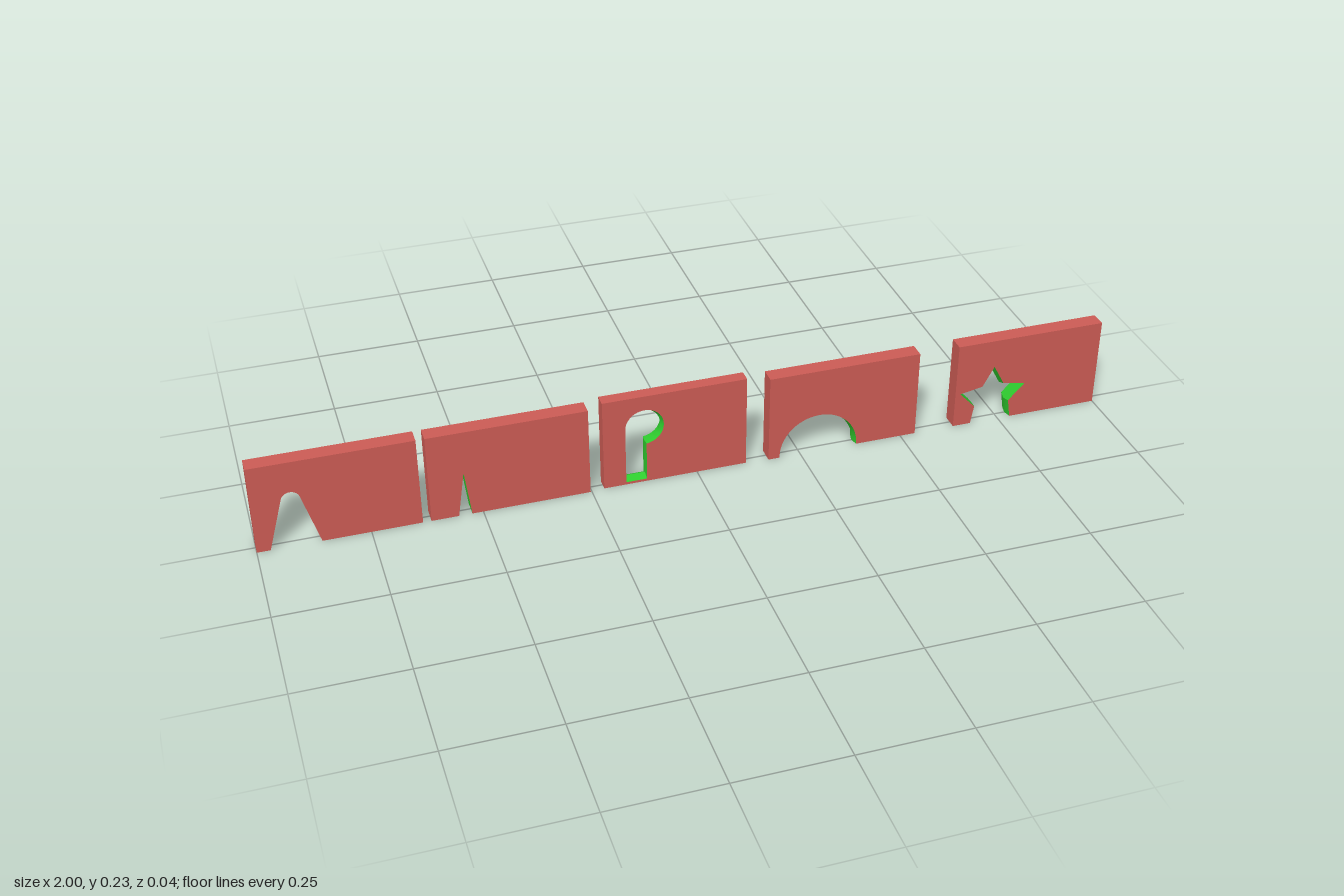
import * as THREE from 'three';
import { toCreasedNormals } from 'three/addons/utils/BufferGeometryUtils.js';

const red = new THREE.MeshStandardMaterial({ color: 0xcc5c55, side: THREE.DoubleSide });
const green = new THREE.MeshStandardMaterial({ color: 0x2ecc2e, side: THREE.DoubleSide });

const arc = (cx, cy, r, from, to, n) => Array.from({ length: n + 1 }, (_, i) => {
  const a = THREE.MathUtils.degToRad(from + (to - from) * i / n);
  return [cx + r * Math.cos(a), cy + r * Math.sin(a)];
});

// wall strip that follows a path through several rings [z, scale about the centre]
function wall(path, rings, cx = 0, cy = 0) {
  const pos = [];
  const at = ([x, y], [z, s]) => [cx + (x - cx) * s, cy + (y - cy) * s, z];
  for (let r = 0; r < rings.length - 1; r++) {
    for (let i = 0; i < path.length - 1; i++) {
      const a = at(path[i], rings[r]), b = at(path[i + 1], rings[r]);
      const c = at(path[i + 1], rings[r + 1]), d = at(path[i], rings[r + 1]);
      pos.push(...a, ...d, ...c, ...a, ...c, ...b);
    }
  }
  const g = new THREE.BufferGeometry();
  g.setAttribute('position', new THREE.Float32BufferAttribute(pos, 3));
  g.computeVertexNormals();
  return toCreasedNormals(g, 0.5);
}

// panel with one opening: cut into the bottom edge, or a closed hole
function panel({ name, x0, x1, h, d, opening, closed, waist, centre }) {
  const group = new THREE.Group();
  group.name = name;
  const add = (geometry, material, part) => {
    const mesh = new THREE.Mesh(geometry, material);
    mesh.name = part;
    group.add(mesh);
  };
  const vec = (list) => list.map(([x, y]) => new THREE.Vector2(x, y));
  const corners = [[x1, 0], [x1, h], [x0, h], [x0, 0]];
  const shape = new THREE.Shape(vec(closed ? corners : [...opening, ...corners]));
  if (closed) shape.holes.push(new THREE.Path(vec(opening)));

  // front and back faces
  const front = new THREE.ShapeGeometry(shape);
  const back = front.clone();
  back.index.array.reverse();
  back.computeVertexNormals();
  add(front.translate(0, 0, d), red, 'frontFace');
  add(back.translate(0, 0, -d), red, 'backFace');

  // outer edge and opening lining
  const outer = closed ? [...corners, corners[0]] : [opening.at(-1), ...corners, opening[0]];
  add(wall(outer, [[d, 1], [-d, 1]]), red, 'outerEdge');
  const lining = closed ? [...opening, opening[0]] : opening;
  add(wall(lining, [[d, 1], [0, waist], [-d, 1]], ...centre), green, 'openingLining');
  return group;
}

// upper nine corners of a star, cut off at the floor
const star = Array.from({ length: 9 }, (_, i) => {
  const a = THREE.MathUtils.degToRad(234 - 36 * i), r = i % 2 ? 0.046 : 0.087;
  return [0.73 + r * Math.cos(a), Math.max(0, 0.06 + r * Math.sin(a))];
});

const panels = [
  { name: 'roundedSpikePanel', x0: -1, x1: -0.636, h: 0.218, d: 0.019, waist: 0.97, centre: [-0.914, 0],
    opening: [[-0.97, 0], ...arc(-0.914, 0.121, 0.021, 160, 20, 10), [-0.858, 0]] },
  { name: 'narrowSpikePanel', x0: -0.617, x1: -0.253, h: 0.218, d: 0.019, waist: 1, centre: [-0.538, 0],
    opening: [[-0.555, 0], [-0.538, 0.112], [-0.525, 0]] },
  { name: 'keyholePanel', x0: -0.22, x1: 0.118, h: 0.228, d: 0.015, waist: 0.91, centre: [-0.135, 0.11], closed: true,
    opening: [[-0.168, 0.006], ...arc(-0.123, 0.147, 0.045, 180, -85, 28), [-0.119, 0.006]] },
  { name: 'archPanel', x0: 0.172, x1: 0.537, h: 0.218, d: 0.019, waist: 0.95, centre: [0.294, 0],
    opening: [[0.199, 0], ...arc(0.294, 0.004, 0.095, 180, 0, 28), [0.389, 0]] },
  { name: 'starPanel', x0: 0.635, x1: 1, h: 0.218, d: 0.019, waist: 0.92, centre: [0.73, 0], opening: star },
];

export function createModel() {
  const model = new THREE.Group();
  model.name = 'cutoutPanels';
  for (const p of panels) model.add(panel(p));
  return model;
}
